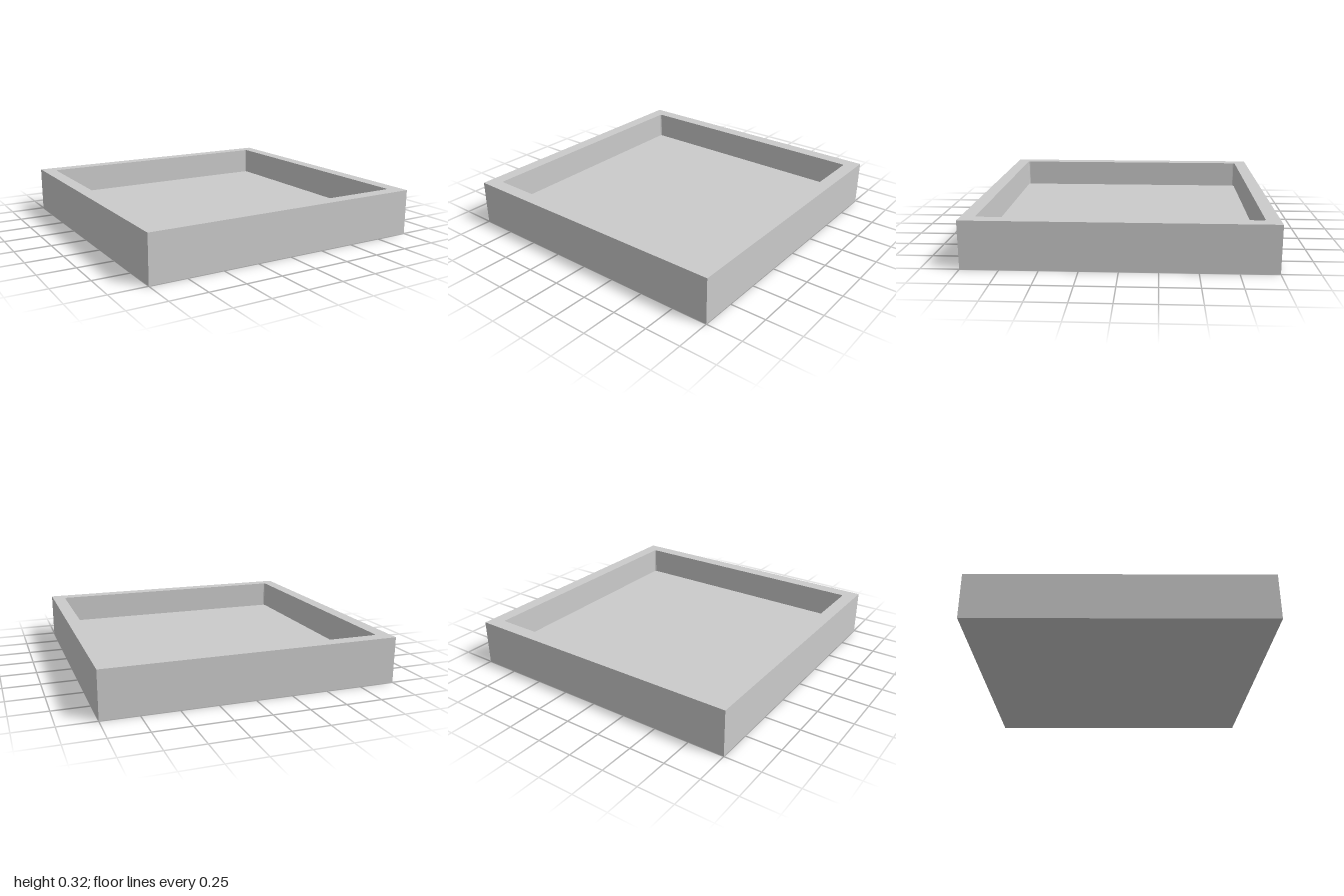
import * as THREE from 'three';

const HEIGHT = 0.318, FLOOR = 0.118, INNER = 0.907, FILLET = 0.014, STEPS = 4;

// Rounded square outline, counter-clockwise seen from above
function squareLoop(half, radius, y) {
  const points = [];
  for (let corner = 0; corner < 4; corner++) {
    const mid = Math.PI / 4 + corner * Math.PI / 2;
    const cx = Math.sign(Math.cos(mid)) * (half - radius);
    const cz = -Math.sign(Math.sin(mid)) * (half - radius);
    for (let i = 0; i <= STEPS; i++) {
      const a = (corner + i / STEPS) * Math.PI / 2;
      points.push(new THREE.Vector3(cx + radius * Math.cos(a), y, cz - radius * Math.sin(a)));
    }
  }
  return points;
}

// Joins successive loops into one closed skin, leaving out collapsed triangles
function skin(loops) {
  const positions = [];
  const addTriangle = (a, b, c) => {
    if (new THREE.Triangle(a, b, c).getArea() < 1e-9) return;
    for (const p of [a, b, c]) positions.push(p.x, p.y, p.z);
  };
  for (let k = 0; k < loops.length - 1; k++) {
    const low = loops[k], high = loops[k + 1];
    for (let j = 0; j < low.length; j++) {
      const n = (j + 1) % low.length;
      addTriangle(low[j], low[n], high[n]);
      addTriangle(low[j], high[n], high[j]);
    }
  }
  const geometry = new THREE.BufferGeometry();
  geometry.setAttribute('position', new THREE.Float32BufferAttribute(positions, 3));
  geometry.computeVertexNormals();
  return geometry;
}

export function createModel() {
  const group = new THREE.Group();
  group.name = 'squareTray';

  // Underside, outer walls, rim, inner walls with small fillets, recessed floor
  const tray = new THREE.Mesh(
    skin([
      squareLoop(0, 0, 0),
      squareLoop(1, 0, 0),
      squareLoop(1, 0, HEIGHT),
      squareLoop(INNER, FILLET, HEIGHT),
      squareLoop(INNER, FILLET, FLOOR),
      squareLoop(0, 0, FLOOR),
    ]),
    new THREE.MeshStandardMaterial({ color: 0xcccccc, flatShading: true })
  );
  tray.name = 'trayBody';
  group.add(tray);
  return group;
}
